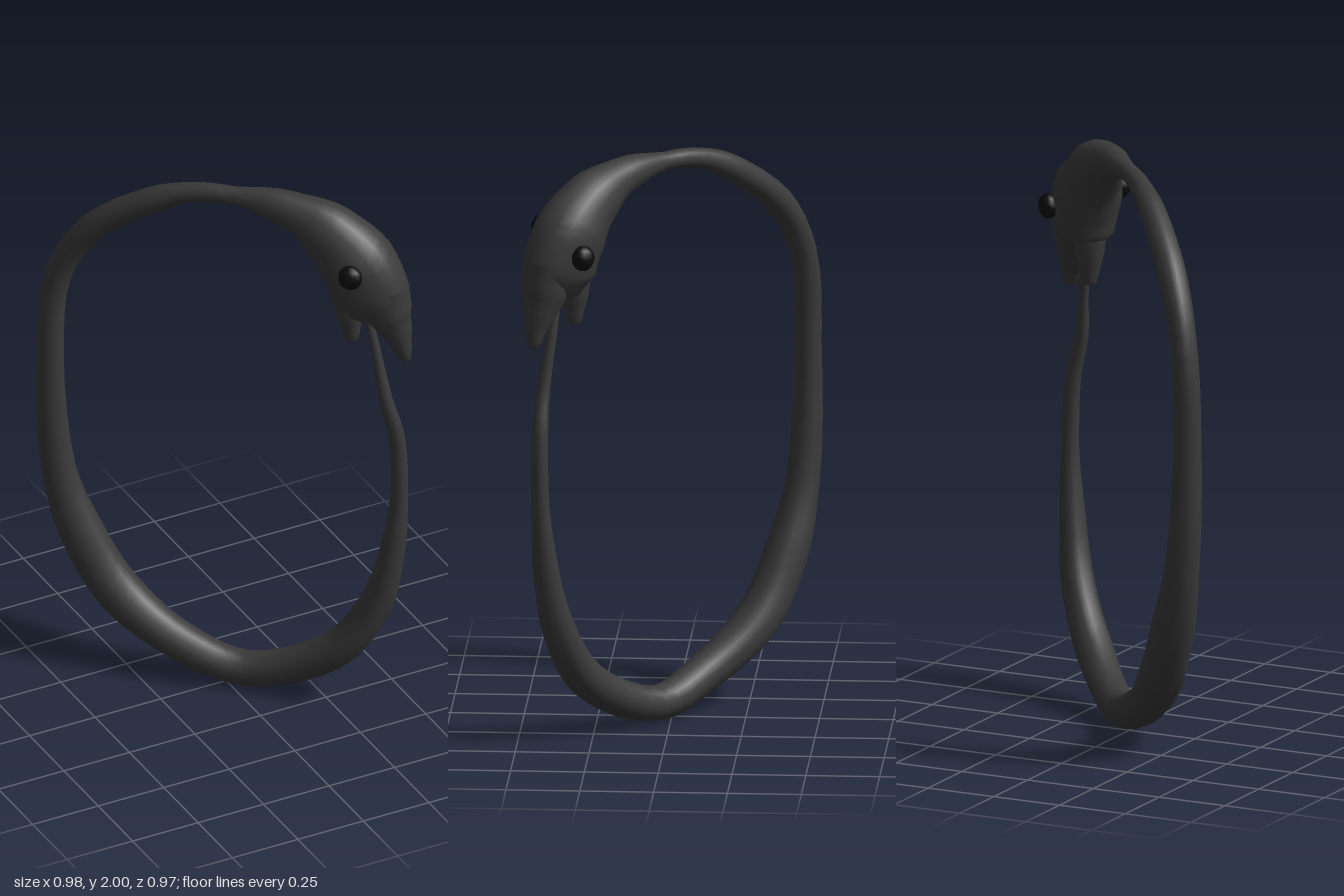
import * as THREE from 'three';

// The ring lies in the vertical plane spanned by U and y; N points across it.
const U = new THREE.Vector3(1, 0, 1).normalize();
const N = new THREE.Vector3(1, 0, -1).normalize();
const place = (u, y, v) => U.clone().multiplyScalar(u).addScaledVector(N, v).setY(y);

// Smooth skin over elliptical rings: rows of [u, y, v, half height, half width]
function loft(rows, perRow, sides = 14) {
  const path = new THREE.CatmullRomCurve3(rows.map(r => place(r[0], r[1], r[2])));
  const steps = (rows.length - 1) * perRow;
  const pos = [], index = [];
  for (let i = 0; i <= steps; i++) {
    const t = i / steps;
    const k = Math.min(Math.floor(i / perRow), rows.length - 2);
    const f = i / perRow - k;
    const s = f * f * (3 - 2 * f) * 0.5 + f * 0.5;
    const h = THREE.MathUtils.lerp(rows[k][3], rows[k + 1][3], s);
    const w = THREE.MathUtils.lerp(rows[k][4], rows[k + 1][4], s);
    const c = path.getPoint(t);
    const p = N.clone().cross(path.getTangent(t)).normalize();
    for (let j = 0; j < sides; j++) {
      const a = (j / sides) * Math.PI * 2;
      const q = c.clone().addScaledVector(p, Math.cos(a) * h).addScaledVector(N, Math.sin(a) * w);
      pos.push(q.x, q.y, q.z);
      if (i < steps) {
        const a0 = i * sides + j, b0 = i * sides + (j + 1) % sides;
        index.push(a0, b0, b0 + sides, a0, b0 + sides, a0 + sides);
      }
    }
  }
  const g = new THREE.BufferGeometry();
  g.setAttribute('position', new THREE.Float32BufferAttribute(pos, 3));
  g.setIndex(index);
  g.computeVertexNormals();
  return g;
}

export function createModel() {
  const model = new THREE.Group();
  const skin = new THREE.MeshStandardMaterial({ color: 0x3a3a3a });
  skin.name = 'charcoal skin';
  const black = new THREE.MeshStandardMaterial({ color: 0x0b0b0b });
  black.name = 'eye black';
  const add = (name, geometry, material) => {
    const mesh = new THREE.Mesh(geometry, material);
    mesh.name = name;
    model.add(mesh);
    return mesh;
  };

  // Round body from the bitten tail, around the ring, up to the neck
  const body = [
    [0.50, 1.60, -0.01, 0.014], [0.54, 1.40, -0.01, 0.018], [0.571, 1.24, -0.012, 0.024],
    [0.601, 1.10, 0.007, 0.028], [0.607, 0.85, 0.016, 0.031], [0.578, 0.60, 0.016, 0.046],
    [0.521, 0.40, 0.016, 0.058], [0.378, 0.20, 0.004, 0.066], [0.078, 0.07, 0.007, 0.061],
    [-0.148, 0.135, -0.005, 0.068], [-0.377, 0.285, 0.01, 0.08], [-0.511, 0.50, 0.008, 0.076],
    [-0.593, 0.75, 0, 0.058], [-0.621, 1.20, -0.008, 0.047], [-0.594, 1.53, 0, 0.046],
    [-0.477, 1.73, 0.003, 0.05], [-0.27, 1.88, 0, 0.046], [-0.13, 1.94, 0, 0.035],
    [0.03, 1.957, 0, 0.032],
  ].map(r => [...r, r[3]]);

  // Head widens from the neck and closes at the back of the mouth
  const head = [
    [0.225, 1.938, 0, 0.066, 0.062], [0.365, 1.875, 0, 0.107, 0.095],
    [0.4625, 1.775, 0, 0.135, 0.118], [0.51, 1.655, 0, 0.142, 0.105],
    [0.515, 1.575, 0, 0.09, 0.06], [0.515, 1.56, 0, 0.001, 0.001],
  ];
  add('bodyAndHead', loft([...body, ...head], 4), skin);

  // Jaws
  add('upperJaw', loft([
    [0.565, 1.70, 0, 0.08, 0.085], [0.575, 1.60, 0, 0.082, 0.08], [0.60, 1.53, 0.003, 0.057, 0.058],
    [0.622, 1.46, 0.006, 0.033, 0.035], [0.632, 1.415, 0.008, 0.02, 0.02], [0.633, 1.405, 0.008, 0.001, 0.001],
  ], 3), skin);
  add('lowerJaw', loft([
    [0.435, 1.66, 0, 0.055, 0.06], [0.438, 1.57, 0, 0.046, 0.05], [0.442, 1.50, 0, 0.032, 0.034],
    [0.442, 1.462, 0, 0.024, 0.022], [0.442, 1.453, 0, 0.001, 0.001],
  ], 3), skin);

  // Bulging eyes, set a little unevenly
  const eye = new THREE.SphereGeometry(1, 12, 8);
  for (const [name, u, y, v] of [['leftEye', 0.51, 1.725, 0.124], ['rightEye', 0.477, 1.785, -0.121]]) {
    const mesh = add(name, eye, black);
    mesh.position.copy(place(u, y, v));
    mesh.scale.set(0.042, 0.044, 0.034);
    mesh.rotation.y = Math.PI * 0.75;
  }
  return model;
}
